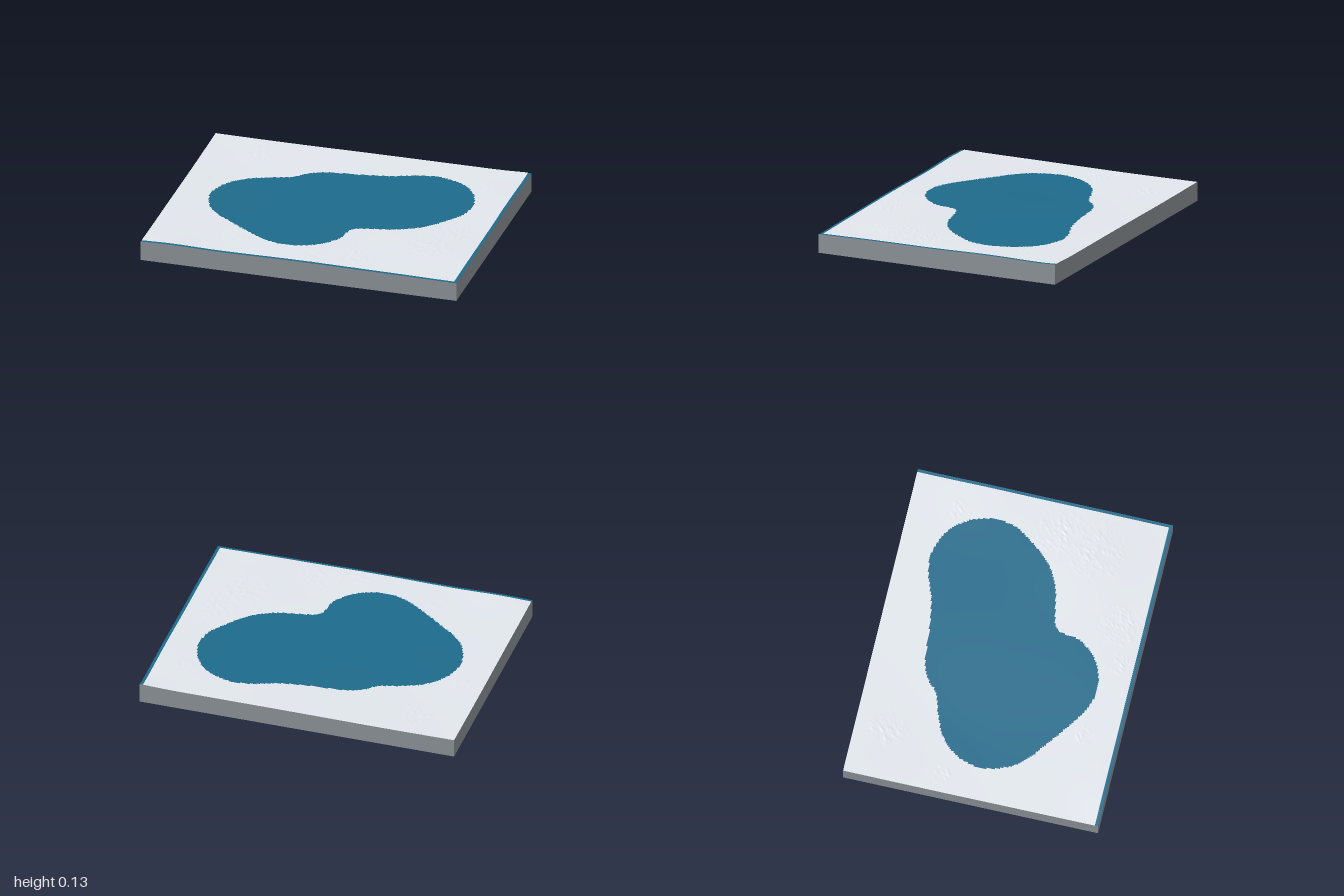
import * as THREE from 'three';

const HALF_X = 1, HALF_Z = 0.795;
const EDGE = 0.02;   // uncovered strip along two sides
const LAYER = 0.003; // thickness of the ground layer above the water

// Shoreline control points (x, z)
const SHORE = [
  [-0.79, 0], [-0.75, -0.14], [-0.65, -0.25], [-0.5, -0.32], [-0.38, -0.36], [-0.3, -0.43],
  [-0.2, -0.47], [0, -0.49], [0.2, -0.525], [0.38, -0.585], [0.5, -0.59], [0.65, -0.53],
  [0.75, -0.41], [0.79, -0.27], [0.77, -0.13], [0.67, 0.02], [0.59, 0.11], [0.45, 0.19],
  [0.3, 0.225], [0.2, 0.25], [0.17, 0.29], [0.15, 0.4], [0.08, 0.5], [-0.02, 0.565],
  [-0.15, 0.59], [-0.27, 0.56], [-0.4, 0.48], [-0.55, 0.37], [-0.7, 0.25], [-0.77, 0.12],
];

// Broad rises and hollows (x, z, radius, height)
const HILLS = [
  [-0.8, 0.85, 0.2, 0.008], [0, 0.6, 0.4, 0.007], [0.6, 0.35, 0.3, 0.007],
  [1, -0.35, 0.3, 0.007], [1, -0.85, 0.12, 0.007], [-0.55, -0.3, 0.45, -0.011],
  [1, 0.8, 0.25, -0.003],
];

// Stony patches (x, z, radius)
const PATCHES = [
  [0.8, 0.15, 0.2], [0.72, 0.38, 0.22], [0.3, 0.64, 0.17], [0.05, 0.7, 0.1],
  [-0.68, -0.6, 0.14], [-0.88, -0.2, 0.08], [-0.45, 0.58, 0.08], [0.8, -0.5, 0.08],
];

// Repeatable value in 0..1 for a position
function hash(x, z) {
  const s = Math.sin(x * 1271.3 + z * 3117.7) * 43758.5453;
  return s - Math.floor(s);
}

function insideOutline(x, z, outline) {
  let inside = false;
  for (let i = 0, j = outline.length - 1; i < outline.length; j = i++) {
    const a = outline[i], b = outline[j];
    if ((a.y > z) !== (b.y > z) && x < ((b.x - a.x) * (z - a.y)) / (b.y - a.y) + a.x) inside = !inside;
  }
  return inside;
}

function groundHeight(x, z) {
  return HILLS.reduce((y, [hx, hz, r, h]) => y + h * Math.exp(-((x - hx) ** 2 + (z - hz) ** 2) / (r * r)), 0.121);
}

function stonyHeight(x, z) {
  const rough = Math.max(0, ...PATCHES.map(([px, pz, r]) => 1 - Math.hypot(x - px, z - pz) / r));
  return groundHeight(x, z) + (hash(x, z) > 0.87 ? 0.004 * rough : 0);
}

function meshGeometry(positions, index) {
  const geometry = new THREE.BufferGeometry();
  geometry.setAttribute('position', new THREE.Float32BufferAttribute(positions, 3));
  geometry.setIndex(index);
  geometry.computeVertexNormals();
  return geometry;
}

// Height grid from the back right corner to (x1, z1), keeping chosen cells
function sheetGeometry(nx, nz, x1, z1, height, keep) {
  const positions = [], index = [];
  const dx = (x1 + HALF_X) / nx, dz = (z1 + HALF_Z) / nz;
  for (let j = 0; j <= nz; j++) {
    for (let i = 0; i <= nx; i++) {
      const x = -HALF_X + i * dx, z = -HALF_Z + j * dz;
      positions.push(x, height(x, z), z);
      if (i < nx && j < nz && keep(x + dx / 2, z + dz / 2)) {
        const a = j * (nx + 1) + i, c = a + nx + 1;
        index.push(a, c, a + 1, a + 1, c, c + 1);
      }
    }
  }
  return meshGeometry(positions, index);
}

// One wall from corner to corner, its top edge following the ground
function wallGeometry([ax, az], [bx, bz]) {
  const steps = 80, positions = [], index = [];
  for (let i = 0; i <= steps; i++) {
    const x = THREE.MathUtils.lerp(ax, bx, i / steps);
    const z = THREE.MathUtils.lerp(az, bz, i / steps);
    positions.push(x, 0, z, x, groundHeight(x, z), z);
    if (i < steps) {
      const a = 2 * i;
      index.push(a, a + 2, a + 3, a, a + 3, a + 1);
    }
  }
  return meshGeometry(positions, index);
}

export function createModel() {
  const model = new THREE.Group();
  model.name = 'lakeTerrain';
  const slab = new THREE.MeshStandardMaterial({ color: 0x90979d });

  const add = (name, geometry, material) => {
    const mesh = new THREE.Mesh(geometry, material);
    mesh.name = name;
    model.add(mesh);
    return mesh;
  };

  // Four walls and the underside
  const corners = [[-HALF_X, HALF_Z], [HALF_X, HALF_Z], [HALF_X, -HALF_Z], [-HALF_X, -HALF_Z]];
  ['frontWall', 'leftWall', 'backWall', 'rightWall'].forEach((name, i) => {
    add(name, wallGeometry(corners[i], corners[(i + 1) % 4]), slab);
  });
  add('underside', new THREE.PlaneGeometry(2 * HALF_X, 2 * HALF_Z), slab).rotation.x = Math.PI / 2;

  // Water layer just under the ground, seen in the lake and along two edges
  add('water', sheetGeometry(100, 80, HALF_X, HALF_Z, (x, z) => groundHeight(x, z) - LAYER, () => true),
    new THREE.MeshStandardMaterial({ color: 0x1e6b8c }));

  // Ground layer with the lake cut out
  const curve = new THREE.CatmullRomCurve3(SHORE.map(([x, z]) => new THREE.Vector3(x, z, 0)), true);
  const outline = curve.getPoints(200);
  add('terrain',
    sheetGeometry(200, 158, HALF_X - EDGE, HALF_Z - EDGE, stonyHeight, (x, z) => !insideOutline(x, z, outline)),
    new THREE.MeshStandardMaterial({ color: 0xe3e8ee }));

  return model;
}
